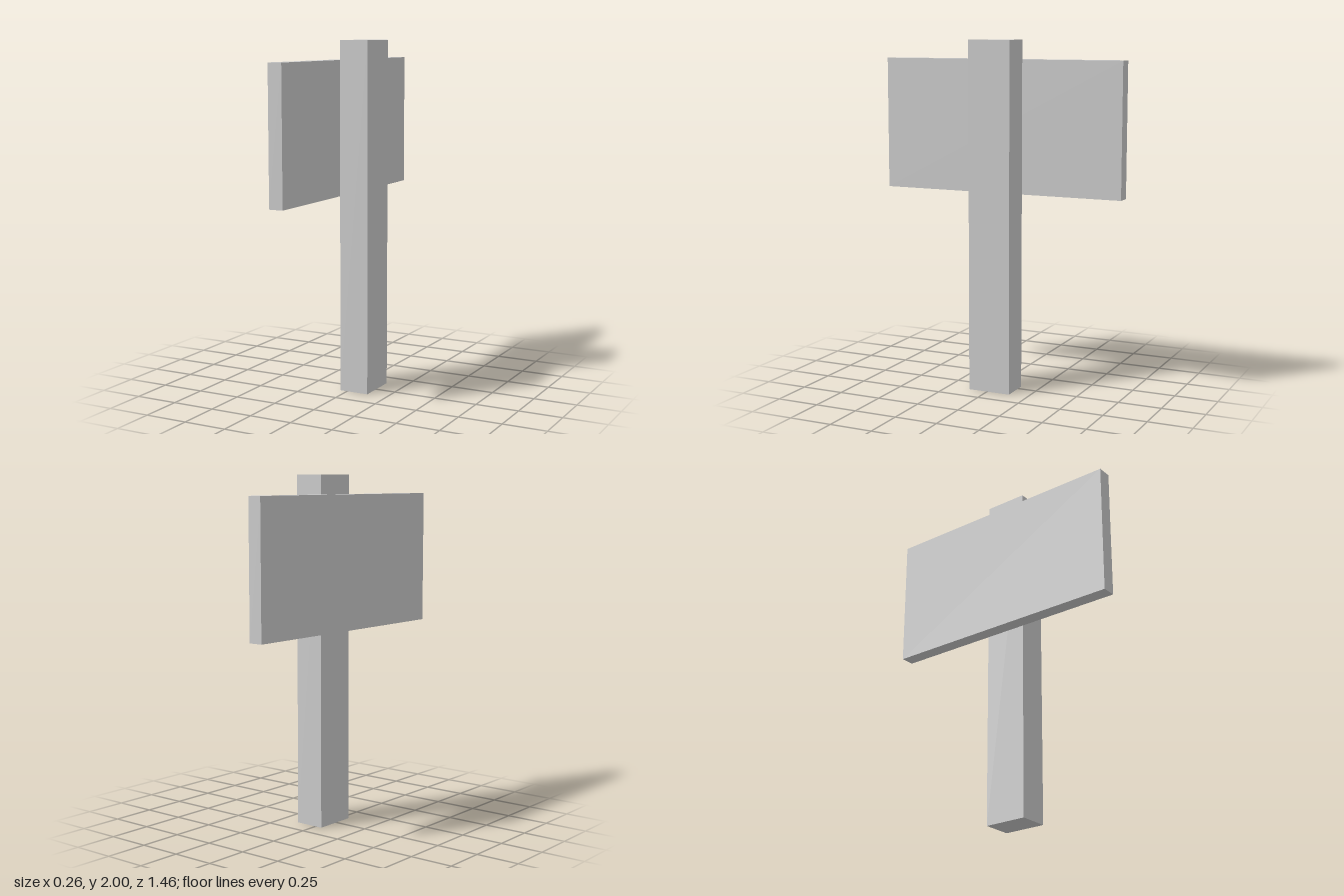
import * as THREE from 'three';

export function createModel() {
  const group = new THREE.Group();
  group.name = 'signpost';
  const material = new THREE.MeshStandardMaterial({ color: 0xcccccc, flatShading: true });

  // Box given by its lower and upper corners
  const addBox = (name, min, max) => {
    const size = max.map((v, i) => v - min[i]);
    const mesh = new THREE.Mesh(new THREE.BoxGeometry(...size), material);
    mesh.position.set(...max.map((v, i) => (v + min[i]) / 2));
    mesh.name = name;
    group.add(mesh);
  };

  // Upright post
  addBox('post', [-0.043, 0, -0.138], [0.13, 2, 0.113]);
  // Sign board beside the post, with a hairline gap
  addBox('signBoard', [-0.13, 1.128, -0.73], [-0.048, 1.89, 0.73]);

  return group;
}
